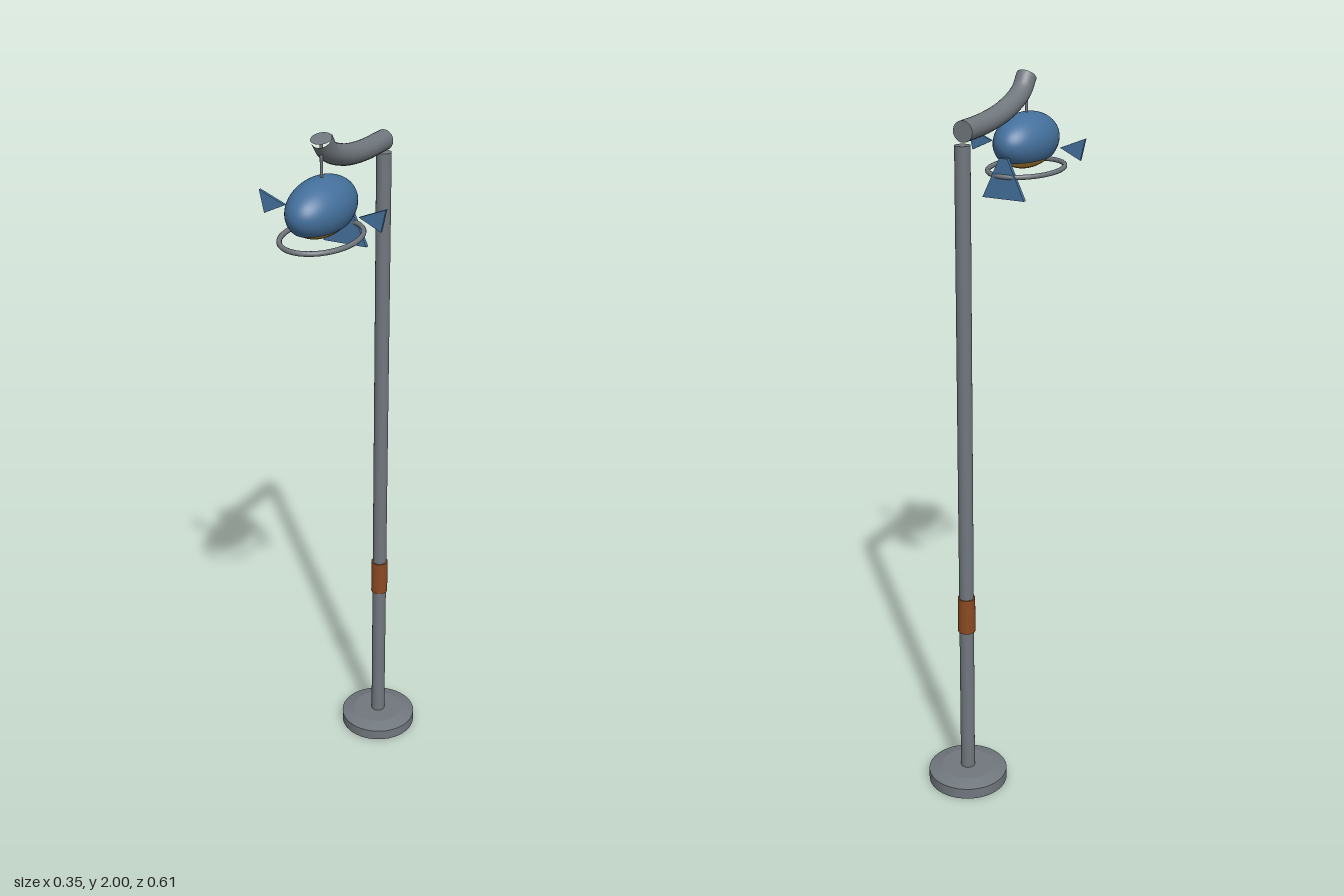
import * as THREE from 'three';

const paint = (name, color) => {
  const m = new THREE.MeshStandardMaterial({ color });
  m.name = name;
  return m;
};

export function createModel() {
  const steel = paint('steel grey', 0x70777d);
  const blue = paint('blue enamel', 0x44709c);
  const rust = paint('rust brown', 0x8b4a22);
  const amber = paint('amber glass', 0xc29440);
  const group = new THREE.Group();
  const poleZ = -0.191, lampZ = 0.16, lampY = 1.817;

  const add = (name, geometry, material, x = 0, y = 0, z = 0) => {
    const mesh = new THREE.Mesh(geometry, material);
    mesh.name = name;
    mesh.position.set(x, y, z);
    group.add(mesh);
    return mesh;
  };
  const rod = (name, radius, y0, y1, z, material) =>
    add(name, new THREE.CylinderGeometry(radius, radius, y1 - y0, 32), material, 0, (y0 + y1) / 2, z);

  // Foot: straight rim with a shallow sloping top
  rod('footRim', 0.1135, 0, 0.032, poleZ, steel);
  add('footTop', new THREE.CylinderGeometry(0.075, 0.1135, 0.011, 48), steel, 0, 0.0375, poleZ);

  // Pole and its sleeve
  rod('pole', 0.0205, 0.03, 1.862, poleZ, steel);
  rod('poleSleeve', 0.0245, 0.49, 0.595, poleZ, rust);

  // Curved arm with flat end caps
  const path = new THREE.CatmullRomCurve3([
    [1.895, -0.189], [1.899, -0.07], [1.916, 0.04], [1.95, 0.126], [1.987, 0.158],
  ].map(([y, z]) => new THREE.Vector3(0, y, z)));
  const armRadius = 0.0275;
  add('arm', new THREE.TubeGeometry(path, 40, armRadius, 28), steel);
  for (const t of [0, 1]) {
    const p = path.getPoint(t);
    const dir = t ? new THREE.Vector3(0, 0.95, 0.3).normalize() : path.getTangent(0).negate();
    const cap = add(t ? 'armFrontCap' : 'armBackCap', new THREE.CircleGeometry(armRadius, 28), steel, p.x, p.y, p.z);
    cap.quaternion.setFromUnitVectors(new THREE.Vector3(0, 0, 1), dir);
  }
  rod('hangerRod', 0.004, 1.88, 1.98, lampZ - 0.001, steel);

  // Lamp body: an ellipsoid cut low down, closed by the glass below
  const cut = Math.PI * 0.705;
  const shade = new THREE.SphereGeometry(1, 48, 28, 0, Math.PI * 2, 0, cut);
  add('lampShade', shade, blue, 0, lampY, lampZ).scale.set(0.0755, 0.075, 0.132);
  const rim = new THREE.CircleGeometry(Math.sin(cut), 48).rotateX(Math.PI / 2).translate(0, Math.cos(cut), 0);
  add('shadeUnderside', rim, blue, 0, lampY, lampZ).scale.set(0.0755, 0.075, 0.132);
  const glass = new THREE.SphereGeometry(1, 48, 12, 0, Math.PI * 2, cut - 0.05, Math.PI - cut + 0.05);
  add('lampGlass', glass, amber, 0, lampY, lampZ).scale.set(0.0715, 0.0735, 0.125);

  // Oval guard ring under the lamp
  const loop = [];
  for (let i = 0; i < 32; i++) {
    const a = (i / 32) * Math.PI * 2;
    loop.push(new THREE.Vector3(Math.cos(a) * 0.095, 0, Math.sin(a) * 0.135));
  }
  const oval = new THREE.CatmullRomCurve3(loop, true);
  add('guardRing', new THREE.TubeGeometry(oval, 72, 0.0068, 12, true), steel, 0, 1.742, lampZ + 0.001);

  // Thin fins, widening outward
  const fin = (name, corners, depth, z) => {
    const shape = new THREE.Shape(corners.map(([x, y]) => new THREE.Vector2(x, y)));
    const geometry = new THREE.ExtrudeGeometry(shape, { depth, bevelEnabled: false });
    add(name, geometry, blue, 0, 0, z - depth / 2);
  };
  for (const s of [1, -1]) {
    fin(s > 0 ? 'leftFin' : 'rightFin',
      [[s * 0.103, 1.806], [s * 0.163, 1.777], [s * 0.176, 1.836]], 0.008, 0.158);
  }
  fin('tailFin', [[-0.012, 1.79], [-0.062, 1.682], [0.062, 1.682], [0.012, 1.79]], 0.011, 0.031);

  return group;
}
